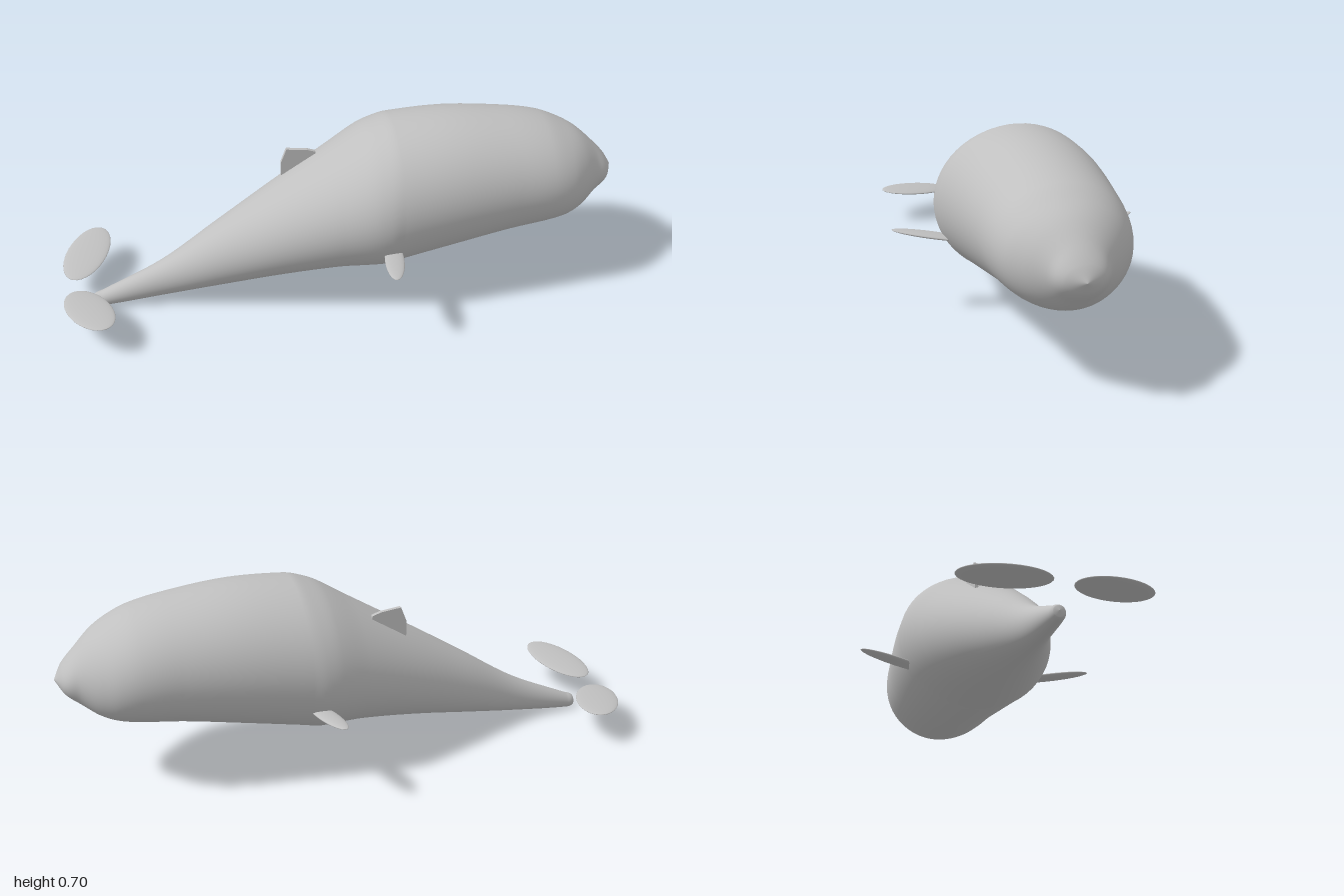
import * as THREE from 'three';

// Body stations: [distance along body, top, bottom, half width]
const STATIONS = [
  [-0.887, 0.03, 0.03, 0], [-0.88, 0.05, 0.008, 0.02], [-0.85, 0.063, 0.003, 0.028],
  [-0.62, 0.172, 0.03, 0.058], [-0.41, 0.31, 0.065, 0.115], [-0.19, 0.45, 0.105, 0.183],
  [0.02, 0.58, 0.133, 0.247], [0.13, 0.65, 0.135, 0.279], [0.19, 0.676, 0.135, 0.287],
  [0.24, 0.69, 0.145, 0.284], [0.45, 0.70, 0.187, 0.268], [0.66, 0.68, 0.228, 0.246],
  [0.80, 0.653, 0.248, 0.23], [0.88, 0.62, 0.262, 0.205], [0.94, 0.585, 0.285, 0.163],
  [1.0, 0.53, 0.33, 0.105], [1.05, 0.475, 0.375, 0.068], [1.08, 0.425, 0.425, 0],
];

// Smooth interpolation of one station column between stations i and i + 1
function blend(i, t, col) {
  const at = (k) => STATIONS[Math.min(Math.max(k, 0), STATIONS.length - 1)];
  const slope = (k) => (at(k + 1)[col] - at(k - 1)[col]) / (at(k + 1)[0] - at(k - 1)[0]);
  const d = at(i + 1)[0] - at(i)[0];
  const t2 = t * t, t3 = t2 * t;
  return at(i)[col] * (2 * t3 - 3 * t2 + 1) + at(i + 1)[col] * (3 * t2 - 2 * t3)
    + d * (slope(i) * (t3 - 2 * t2 + t) + slope(i + 1) * (t3 - t2));
}

// Elliptical rings skinned along the body
function bodyGeometry(sides = 56, steps = 6) {
  const pos = [], index = [];
  const rings = (STATIONS.length - 1) * steps;
  for (let r = 0; r <= rings; r++) {
    const i = Math.min(Math.floor(r / steps), STATIONS.length - 2);
    const t = r / steps - i;
    const s = THREE.MathUtils.lerp(STATIONS[i][0], STATIONS[i + 1][0], t);
    const top = blend(i, t, 1), bottom = blend(i, t, 2), w = blend(i, t, 3);
    for (let j = 0; j < sides; j++) {
      const a = (j / sides) * Math.PI * 2;
      pos.push(s, (top + bottom) / 2 + Math.cos(a) * (top - bottom) / 2, Math.sin(a) * w);
      if (r === rings) continue;
      const A = r * sides + j, B = r * sides + (j + 1) % sides;
      index.push(A, B, A + sides, B, B + sides, A + sides);
    }
  }
  const geo = new THREE.BufferGeometry();
  geo.setAttribute('position', new THREE.Float32BufferAttribute(pos, 3));
  geo.setIndex(index);
  geo.computeVertexNormals();
  return geo;
}

export function createModel() {
  const grey = new THREE.MeshStandardMaterial({ color: 0xc0c0c0 });
  grey.name = 'grey skin';
  const model = new THREE.Group();
  model.name = 'whale';
  const add = (name, geo) => {
    const mesh = new THREE.Mesh(geo, grey);
    mesh.name = name;
    model.add(mesh);
    return mesh;
  };

  add('body', bodyGeometry());

  // Flat oval blade, long axis pointing along dir and mirrored by side
  const blade = (name, side, centre, dir, size) => {
    const mesh = add(name, new THREE.SphereGeometry(1, 32, 20));
    mesh.scale.set(...size);
    mesh.position.set(centre[0], centre[1], centre[2] * side);
    const axis = new THREE.Vector3(dir[0] * side, dir[1] * side, dir[2]).normalize();
    mesh.quaternion.setFromUnitVectors(new THREE.Vector3(0, 0, 1), axis);
  };
  for (const side of [1, -1]) {
    const label = side > 0 ? 'right' : 'left';
    blade(label + 'Flipper', side, [0.196, 0.292, 0.295], [-0.15, 0.16, 0.97], [0.035, 0.009, 0.147]);
    blade(label + 'Fluke', side, [-0.897, 0.116, 0.175], [0.377, 0.11, 0.92], [0.078, 0.01, 0.151]);
  }

  // Small back fin, rooted in the body
  const fin = new THREE.Shape([
    [-0.158, 0.38], [-0.02, 0.4], [-0.03, 0.545], [-0.061, 0.556], [-0.137, 0.565], [-0.158, 0.51],
  ].map(([x, y]) => new THREE.Vector2(x, y)));
  const finGeo = new THREE.ExtrudeGeometry(fin, { depth: 0.014, bevelEnabled: false });
  add('backFin', finGeo).position.z = -0.087;

  // Turn the body axis to its heading
  model.rotation.y = 0.363;
  model.position.set(-0.0195, 0, -0.051);
  const root = new THREE.Group();
  root.name = 'swimmingWhale';
  root.add(model);
  return root;
}
